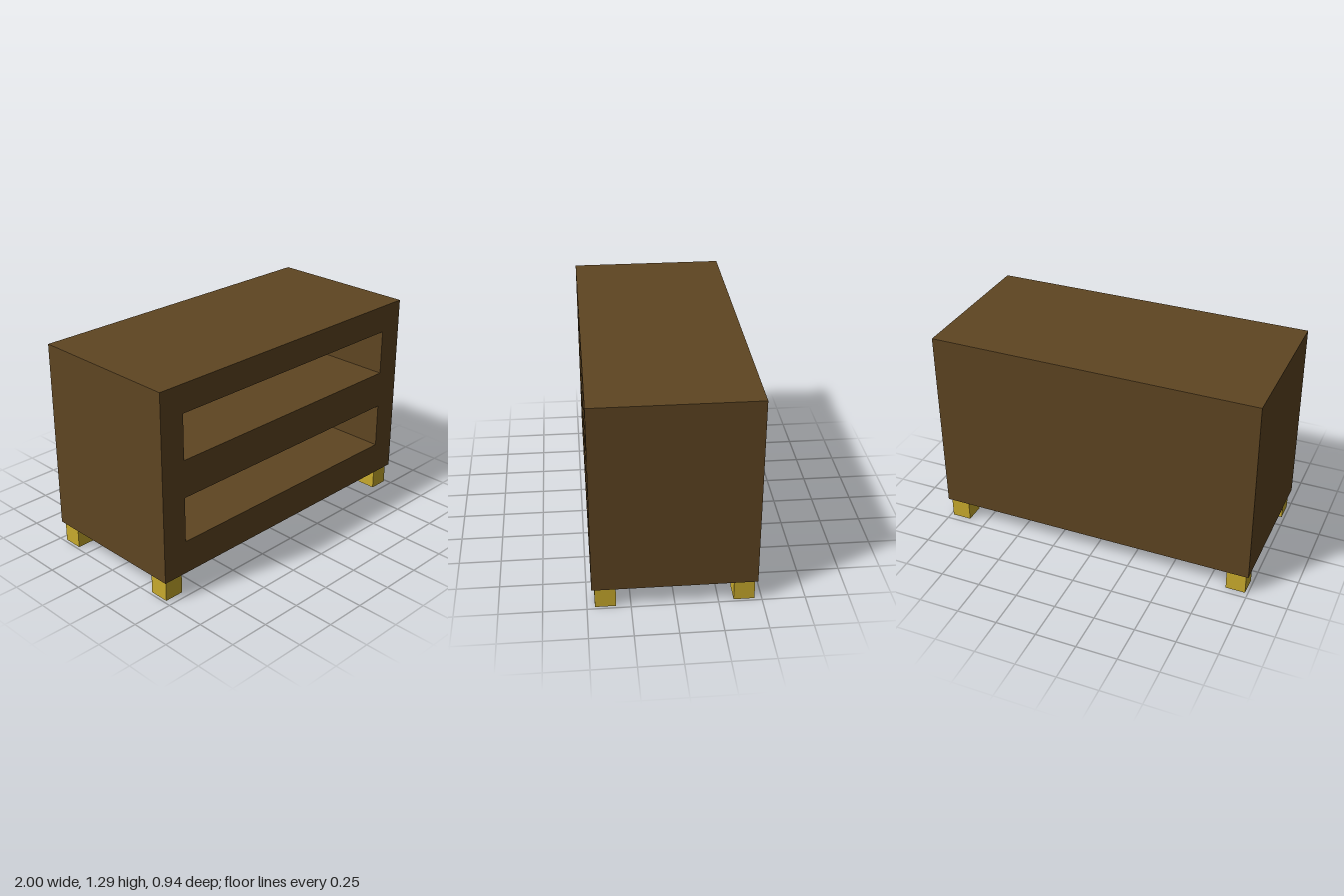
import * as THREE from 'three';

const W = 2, BOTTOM = 0.13, TOP = 1.29, DEPTH = 0.945, BACK = 0.08;

function rectangle(target, x, y0, y1) {
  target.moveTo(-x, y0);
  target.lineTo(x, y0);
  target.lineTo(x, y1);
  target.lineTo(-x, y1);
  target.closePath();
  return target;
}

export function createModel() {
  const wood = new THREE.MeshStandardMaterial({ color: 0x5e4522 });
  wood.name = 'brown wood';
  const gold = new THREE.MeshStandardMaterial({ color: 0xc9ab2d });
  gold.name = 'golden legs';

  const model = new THREE.Group();
  model.name = 'cabinet';
  const add = (name, geometry, material, x, y, z) => {
    const mesh = new THREE.Mesh(geometry, material);
    mesh.name = name;
    mesh.position.set(x, y, z);
    model.add(mesh);
  };

  // Cabinet body with two open compartments
  const outline = rectangle(new THREE.Shape(), W / 2, BOTTOM, TOP);
  for (const [y0, y1] of [[0.334, 0.612], [0.842, 1.12]]) {
    outline.holes.push(rectangle(new THREE.Path(), 0.842, y0, y1));
  }
  const body = new THREE.ExtrudeGeometry(outline, { depth: DEPTH - BACK, bevelEnabled: false });
  add('cabinetBody', body, wood, 0, 0, -DEPTH / 2 + BACK);

  // Back panel closing the compartments
  add('backPanel', new THREE.BoxGeometry(W, TOP - BOTTOM, BACK), wood,
    0, (TOP + BOTTOM) / 2, -DEPTH / 2 + BACK / 2);

  // Four square legs
  const leg = new THREE.BoxGeometry(0.12, BOTTOM, 0.12);
  for (const [side, x] of [['Left', 0.923], ['Right', -0.923]]) {
    for (const [end, z] of [['front', 0.395], ['back', -0.398]]) {
      add(`${end}${side}Leg`, leg, gold, x, BOTTOM / 2, z);
    }
  }
  return model;
}
